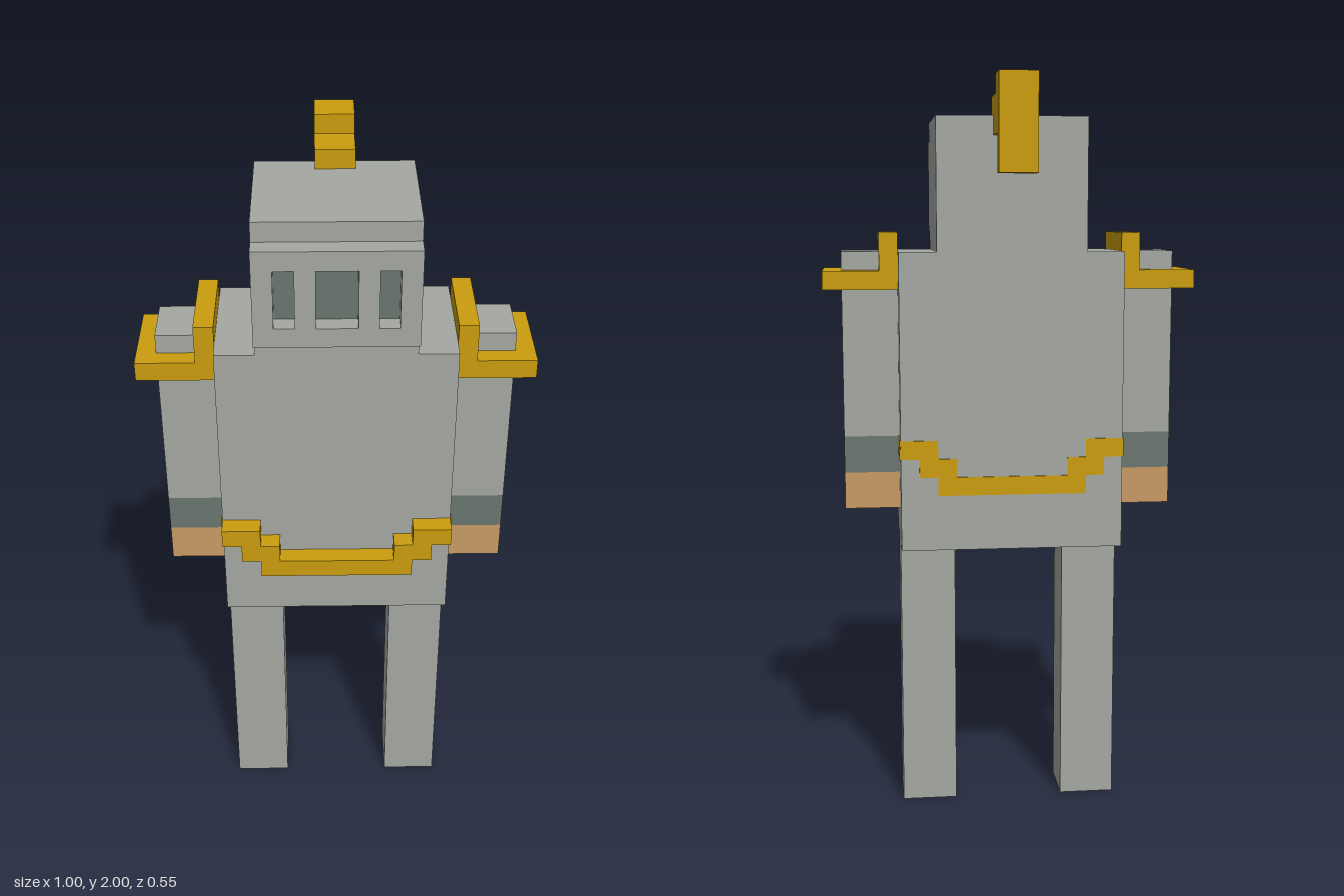
import * as THREE from 'three';

const material = (name, color) => {
  const m = new THREE.MeshStandardMaterial({ color });
  m.name = name;
  return m;
};

export function createModel() {
  const steel = material('steel', 0xa5a8a2);
  const gold = material('gold', 0xca9d0e);
  const darkSteel = material('dark steel', 0x6b766f);
  const skin = material('skin', 0xc89b64);

  const model = new THREE.Group();
  model.name = 'knight';

  // Box given by its limits on each axis
  const box = (parent, name, mat, [x0, x1], [y0, y1], [z0, z1]) => {
    const mesh = new THREE.Mesh(new THREE.BoxGeometry(x1 - x0, y1 - y0, z1 - z0), mat);
    mesh.position.set((x0 + x1) / 2, (y0 + y1) / 2, (z0 + z1) / 2);
    mesh.name = name;
    parent.add(mesh);
  };
  const group = (name) => {
    const g = new THREE.Group();
    g.name = name;
    model.add(g);
    return g;
  };
  const rect = (path, x0, x1, y0, y1) =>
    path.moveTo(x0, y0).lineTo(x1, y0).lineTo(x1, y1).lineTo(x0, y1).closePath();

  const bodyZ = [-0.125, 0.225];
  const limbZ = [-0.025, 0.125];

  // Torso and helmet
  box(model, 'torso', steel, [-0.3, 0.3], [0.75, 1.55], bodyZ);
  box(model, 'helmet', steel, [-0.2, 0.2], [1.55, 1.9], bodyZ);

  // Visor with three slots, dark behind
  const visorShape = rect(new THREE.Shape(), -0.2, 0.2, 1.6, 1.85);
  for (const [x0, x1] of [[-0.15, -0.1], [-0.05, 0.05], [0.1, 0.15]]) {
    visorShape.holes.push(rect(new THREE.Path(), x0, x1, 1.65, 1.8));
    box(model, 'visorSlot', darkSteel, [x0, x1], [1.65, 1.8], [0.222, 0.227]);
  }
  const visor = new THREE.Mesh(
    new THREE.ExtrudeGeometry(visorShape, { depth: 0.05, bevelEnabled: false }), steel);
  visor.position.z = 0.225;
  visor.name = 'visor';
  model.add(visor);

  // Stepped plume on the back of the helmet
  const plumeShape = new THREE.Shape([
    [0.075, 1.85], [0.225, 1.85], [0.225, 1.75], [0.275, 1.75],
    [0.275, 2], [0.175, 2], [0.175, 1.95], [0.075, 1.95],
  ].map(([x, y]) => new THREE.Vector2(x, y)));
  const plume = new THREE.Mesh(
    new THREE.ExtrudeGeometry(plumeShape, { depth: 0.1, bevelEnabled: false }), gold);
  plume.rotation.y = Math.PI / 2;
  plume.position.x = -0.05;
  plume.name = 'plume';
  model.add(plume);

  // Belt: raised in front, inlaid flat on back and sides
  const belt = group('belt');
  const beltZ = { beltFront: [0.225, 0.275], beltBack: [-0.128, -0.125] };
  for (const [name, z] of Object.entries(beltZ)) {
    box(belt, name, gold, [-0.2, 0.2], [0.9, 0.95], z);
    for (const s of [-1, 1]) {
      const span = (a, b) => (s > 0 ? [a, b] : [-b, -a]);
      box(belt, name, gold, span(0.15, 0.25), [0.95, 1], z);
      box(belt, name, gold, span(0.2, 0.3), [1, 1.05], z);
    }
  }

  // Limbs and shoulder guards
  for (const [s, side] of [[1, 'left'], [-1, 'right']]) {
    const span = (a, b) => (s > 0 ? [a, b] : [-b, -a]);
    box(belt, side + 'BeltSide', gold, span(0.3, 0.303), [1, 1.05], bodyZ);
    box(model, side + 'Leg', steel, span(0.15, 0.3), [0, 0.75], limbZ);

    const arm = group(side + 'Arm');
    box(arm, 'sleeve', steel, span(0.3, 0.45), [1.05, 1.55], limbZ);
    box(arm, 'cuff', darkSteel, span(0.3, 0.45), [0.95, 1.05], limbZ);
    box(arm, 'hand', skin, span(0.3, 0.45), [0.85, 0.95], limbZ);

    // Ring around the arm, with an upright plate beside the neck
    const guard = group(side + 'ShoulderGuard');
    box(guard, 'outerRim', gold, span(0.45, 0.5), [1.45, 1.5], [-0.075, 0.175]);
    box(guard, 'frontRim', gold, span(0.3, 0.45), [1.45, 1.5], [0.125, 0.175]);
    box(guard, 'backRim', gold, span(0.3, 0.45), [1.45, 1.5], [-0.075, -0.025]);
    box(guard, 'uprightPlate', gold, span(0.3, 0.35), [1.5, 1.6], [-0.075, 0.175]);
  }

  return model;
}
